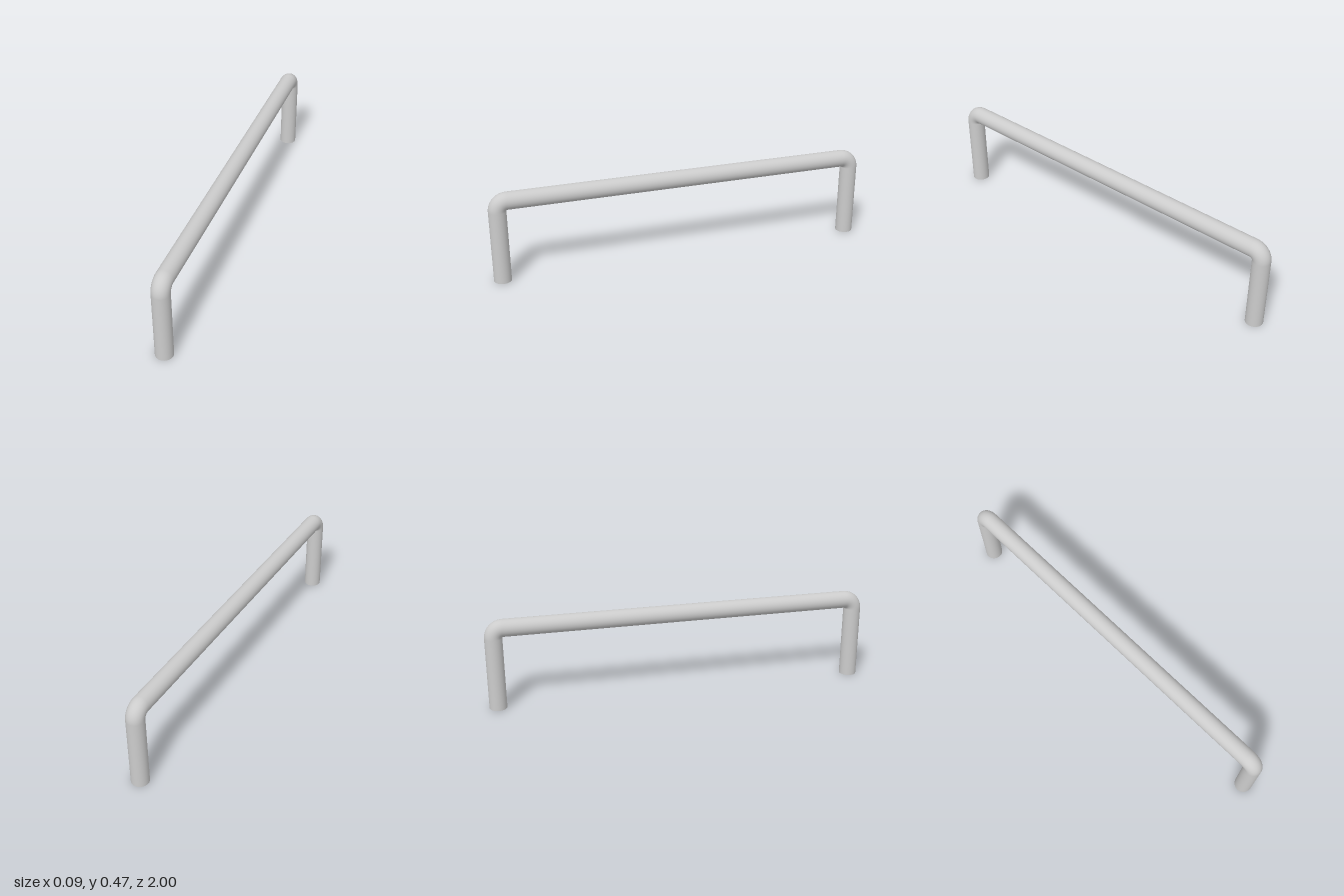
import * as THREE from 'three';

const R = 0.045;      // bar radius
const BEND = 0.05;    // bend radius along the centre line
const LEG_Z = 0.955;  // leg centre line
const TOP = 0.43;     // rail centre line
const SIDES = 32;

export function createModel() {
  const model = new THREE.Group();
  const material = new THREE.MeshStandardMaterial({ color: 0xcccccc });
  const add = (parent, name, geometry) => {
    const mesh = new THREE.Mesh(geometry, material);
    mesh.name = name;
    parent.add(mesh);
    return mesh;
  };

  const legHeight = TOP - BEND;
  const bendZ = LEG_Z - BEND;

  // Straight top rail
  const rail = new THREE.CylinderGeometry(R, R, 2 * bendZ, SIDES, 1, true);
  add(model, 'rail', rail.rotateX(Math.PI / 2).translate(0, TOP, 0));

  // Leg, foot cap and quarter bend, repeated at the other end
  const leg = new THREE.CylinderGeometry(R, R, legHeight, SIDES, 1, true)
    .translate(0, legHeight / 2, LEG_Z);
  const foot = new THREE.CircleGeometry(R, SIDES).rotateX(Math.PI / 2).translate(0, 0, LEG_Z);
  const bend = new THREE.TorusGeometry(BEND, R, SIDES, 16, Math.PI / 2)
    .rotateY(-Math.PI / 2).translate(0, legHeight, bendZ);

  for (const [name, turn] of [['front', 0], ['back', Math.PI]]) {
    const end = new THREE.Group();
    end.name = name + 'End';
    end.rotation.y = turn;
    add(end, name + 'Leg', leg);
    add(end, name + 'Foot', foot);
    add(end, name + 'Bend', bend);
    model.add(end);
  }
  return model;
}
